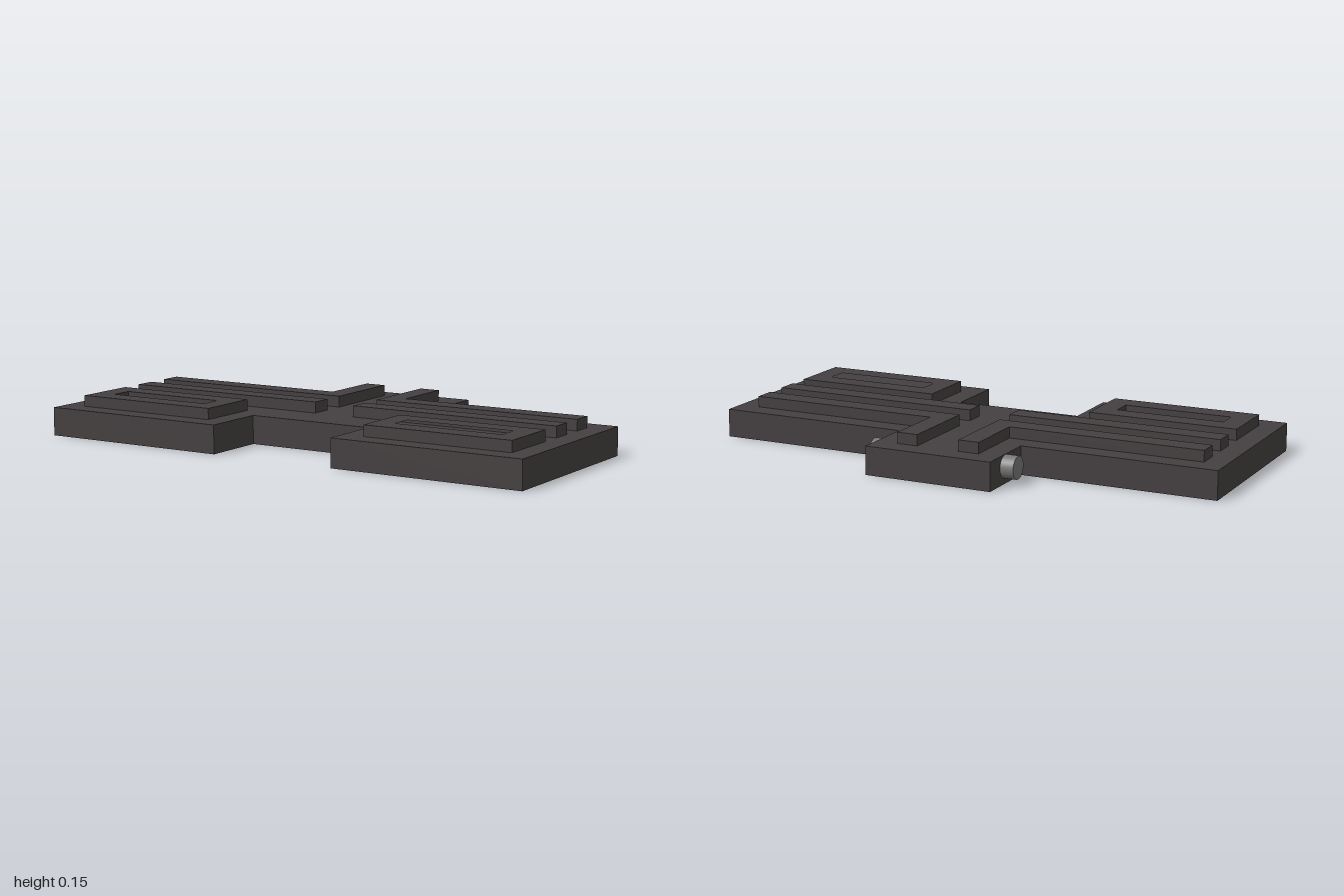
import * as THREE from 'three';

const BASE_H = 0.108, RIB_H = 0.042;
const dark = new THREE.MeshStandardMaterial({ color: 0x443f40 });
const metal = new THREE.MeshStandardMaterial({ color: 0x777777 });

// Points are plan positions [x, z]; s = -1 mirrors them to the other side
const plan = (points, s = 1) => points.map(([x, z]) => new THREE.Vector2(s * x, -z));
const rect = (x0, x1, z0, z1) => [[x0, z0], [x1, z0], [x1, z1], [x0, z1]];

// Upright slab raised from a plan outline, with an optional hole
function slab(name, outline, y, height, s = 1, hole = null) {
  const shape = new THREE.Shape(plan(outline, s));
  if (hole) shape.holes.push(new THREE.Path(plan(hole, s)));
  const geo = new THREE.ExtrudeGeometry(shape, { depth: height, bevelEnabled: false });
  geo.rotateX(-Math.PI / 2);
  const mesh = new THREE.Mesh(geo, dark);
  mesh.name = name;
  mesh.position.y = y;
  return mesh;
}

export function createModel() {
  const model = new THREE.Group();
  model.name = 'ribbedPlate';

  // Base plate: two wings, a rear tab and a front notch
  const half = [[0.25, -0.5], [0.25, -0.25], [1, -0.25], [1, 0.5], [0.25, 0.5], [0.25, 0.25]];
  const outline = [...half, ...half.map(([x, z]) => [-x, z]).reverse()];
  model.add(slab('basePlate', outline, 0, BASE_H));

  // Raised treads on both wings
  const angle = [[0.083, -0.417], [0.164, -0.417], [0.164, -0.166], [0.917, -0.166], [0.917, -0.083], [0.083, -0.083]];
  for (const [side, s] of [['left', 1], ['right', -1]]) {
    model.add(
      slab(side + 'AngleRib', angle, BASE_H, RIB_H, s),
      slab(side + 'StraightRib', rect(0.083, 0.917, 0, 0.083), BASE_H, RIB_H, s),
      slab(side + 'FrameRib', rect(0.334, 0.917, 0.167, 0.417), BASE_H, RIB_H, s,
        rect(0.414, 0.836, 0.25, 0.333))
    );
  }

  // Hinge pin through the rear tab
  const pin = new THREE.Mesh(new THREE.CylinderGeometry(0.043, 0.043, 0.58, 32), metal);
  pin.name = 'hingePin';
  pin.rotation.z = Math.PI / 2;
  pin.position.set(-0.011, 0.064, -0.378);
  model.add(pin);

  return model;
}
